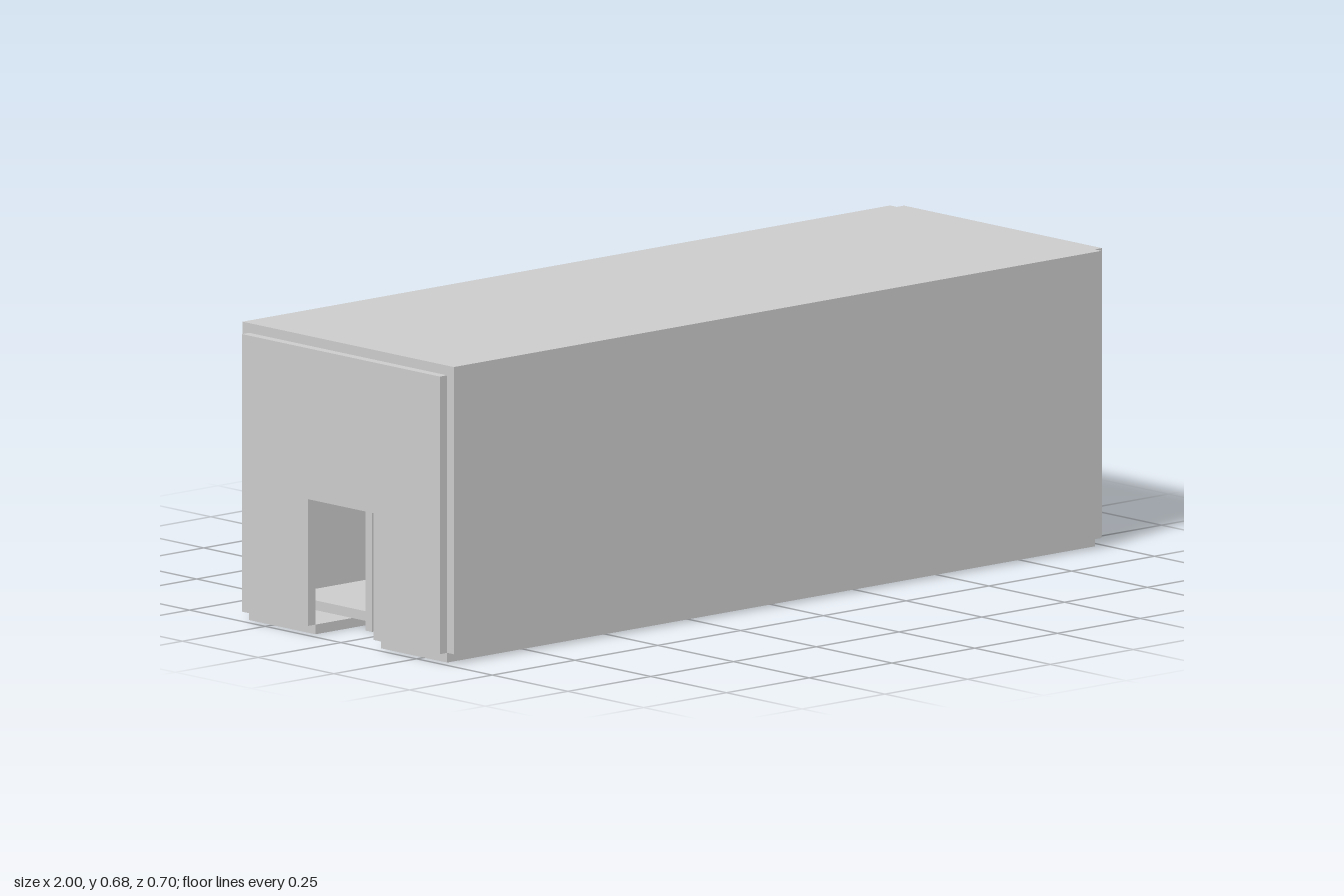
import * as THREE from 'three';

export function createModel() {
  const model = new THREE.Group();
  const material = new THREE.MeshStandardMaterial({ color: 0xcccccc });

  const T = 0.022;                 // board thickness
  const X = 0.978, Z = 0.327;      // inner half length and half depth
  const TOP = 0.675;               // overall height
  const GAP = 0.108;               // half width of the floor slot
  const RUN = 0.867;               // half length of the inner channel
  const NOTCH = 0.31;              // top of the doorway

  // Board given by its minimum and maximum corners
  function board(name, x0, x1, y0, y1, z0, z1) {
    const mesh = new THREE.Mesh(new THREE.BoxGeometry(x1 - x0, y1 - y0, z1 - z0), material);
    mesh.position.set((x0 + x1) / 2, (y0 + y1) / 2, (z0 + z1) / 2);
    mesh.name = name;
    model.add(mesh);
  }

  // Board mirrored to the front and back
  function boardPair(name, x0, x1, y0, y1, z0, z1) {
    board('front' + name, x0, x1, y0, y1, z0, z1);
    board('back' + name, x0, x1, y0, y1, -z1, -z0);
  }

  // Outer box
  board('topPanel', -X, X, TOP - T, TOP, -Z, Z);
  board('closedEndPanel', X, 1, T, TOP, -Z, Z);
  boardPair('SidePanel', -X, X, T, TOP, Z, Z + T);
  boardPair('FloorStrip', -X, X, 0, T, GAP, Z);

  // Inner channel walls and the liners lying on the floor strips
  boardPair('ChannelWall', -RUN, RUN, 0, NOTCH, 0.043, 0.065);
  boardPair('FloorLiner', -RUN, RUN, T, 2 * T, 0.065, Z);

  // End panel with a doorway cut up from its lower edge
  const outline = new THREE.Shape([
    [-Z, T], [-GAP, T], [-GAP, NOTCH], [GAP, NOTCH],
    [GAP, T], [Z, T], [Z, TOP - T], [-Z, TOP - T],
  ].map(([x, y]) => new THREE.Vector2(x, y)));
  const notched = new THREE.Mesh(
    new THREE.ExtrudeGeometry(outline, { depth: T, bevelEnabled: false }), material);
  notched.rotation.y = -Math.PI / 2;
  notched.position.x = -X;
  notched.name = 'notchedEndPanel';
  model.add(notched);

  return model;
}
